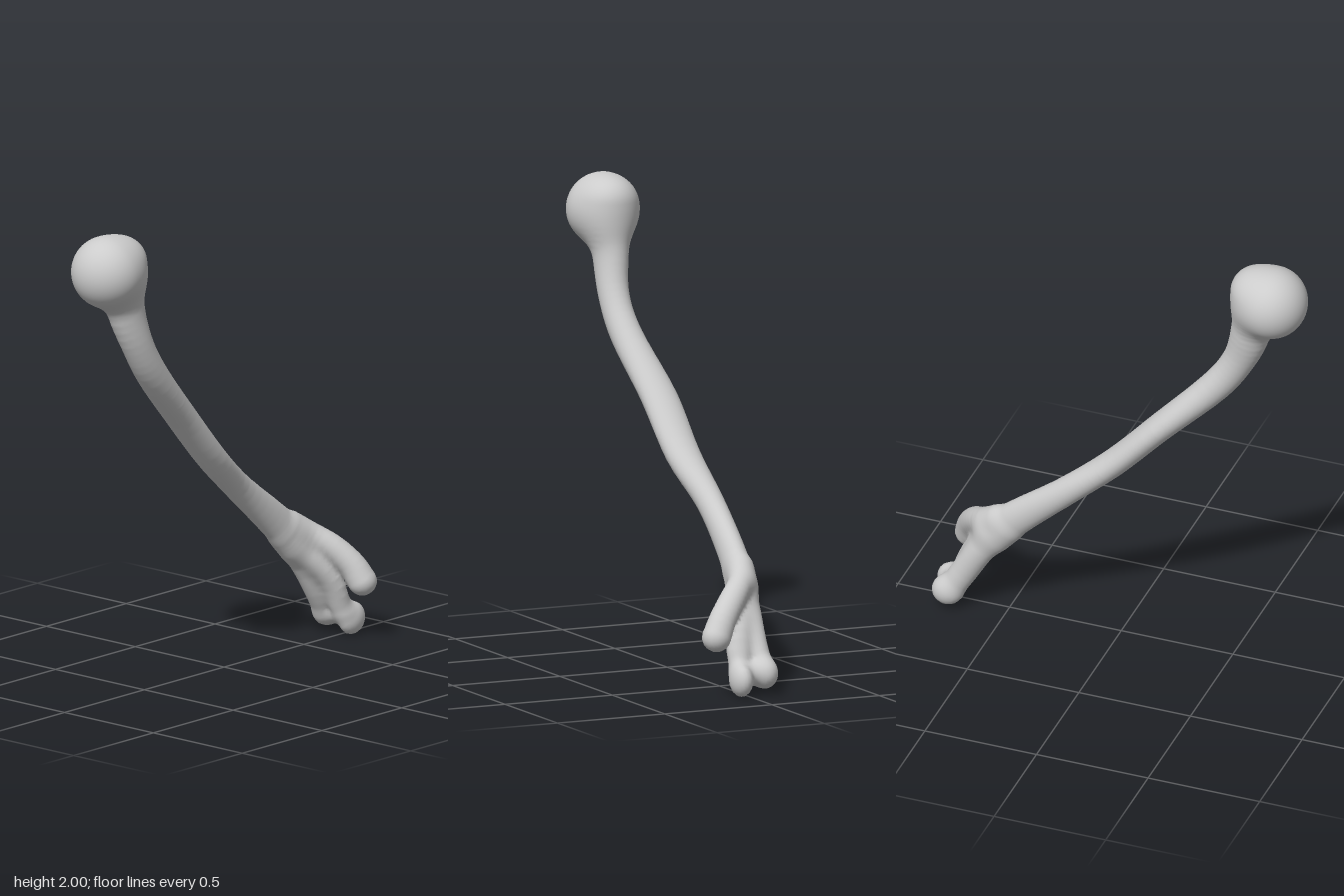
import * as THREE from 'three';

// Each strand is a list of [x, y, z, in-plane radius, z radius] stations, smoothed by a spline.
const SHAFT = [
  [-0.595, 1.89, -0.03, 0.08, 0.09], [-0.598, 1.79, -0.025, 0.085, 0.09], [-0.588, 1.66, -0.023, 0.085, 0.074],
  [-0.53, 1.5, -0.01, 0.07, 0.065], [-0.425, 1.345, -0.018, 0.067, 0.068], [-0.2, 1.115, -0.06, 0.059, 0.081],
  [0, 0.9, -0.074, 0.058, 0.077], [0.2, 0.728, -0.103, 0.061, 0.058], [0.4, 0.56, -0.1, 0.074, 0.055],
  [0.54, 0.43, -0.085, 0.085, 0.06],
];
const INNER_RIDGE = [
  [0.52, 0.5, -0.085, 0.055, 0.05], [0.6, 0.45, -0.045, 0.053, 0.05], [0.66, 0.395, 0.02, 0.055, 0.055],
  [0.705, 0.325, 0.085, 0.057, 0.058], [0.727, 0.255, 0.125, 0.062, 0.062],
];
const OUTER_RIDGE = [
  [0.48, 0.47, -0.1, 0.06, 0.05], [0.59, 0.33, -0.09, 0.058, 0.05], [0.67, 0.2, -0.08, 0.058, 0.052],
  [0.73, 0.1, -0.085, 0.055, 0.05],
];
const WEB = [
  [0.54, 0.42, -0.08, 0.06, 0.05], [0.66, 0.26, -0.01, 0.048, 0.06], [0.725, 0.11, 0.015, 0.045, 0.045],
];
// Rounded ends: [x, y, z, rx, ry, rz]
const HEAD = [-0.69, 1.843, -0.036, 0.15, 0.155, 0.156];
const CONDYLES = [
  [0.767, 0.072, 0.03, 0.068, 0.071, 0.046], // pulley lip
  [0.747, 0.09, -0.088, 0.066, 0.066, 0.056], // outer knuckle
  [0.745, 0.092, -0.03, 0.047, 0.047, 0.07], // axle between them
];

function strand(stations, steps) {
  const spline = (f) => new THREE.CatmullRomCurve3(stations.map(f), false, 'catmullrom').getPoints(steps);
  const p = spline((s) => new THREE.Vector3(s[0], s[1], s[2]));
  const r = spline((s) => new THREE.Vector3(s[3], s[4], 0));
  return (x, y, z) => {
    let best = Infinity;
    for (let i = 0; i < steps; i++) {
      const a = p[i], b = p[i + 1];
      const ux = b.x - a.x, uy = b.y - a.y, uz = b.z - a.z;
      let t = ((x - a.x) * ux + (y - a.y) * uy + (z - a.z) * uz) / (ux * ux + uy * uy + uz * uz);
      t = Math.min(1, Math.max(0, t));
      const r1 = r[i].x + (r[i + 1].x - r[i].x) * t, r2 = r[i].y + (r[i + 1].y - r[i].y) * t;
      const dx = (x - a.x - ux * t) / r1, dy = (y - a.y - uy * t) / r1, dz = (z - a.z - uz * t) / r2;
      const d = (Math.sqrt(dx * dx + dy * dy + dz * dz) - 1) * Math.min(r1, r2);
      if (d < best) best = d;
    }
    return best;
  };
}

function ellipsoid([cx, cy, cz, rx, ry, rz]) {
  return (x, y, z) => (Math.hypot((x - cx) / rx, (y - cy) / ry, (z - cz) / rz) - 1) * Math.min(rx, ry, rz);
}

// Smooth union of two distances
function blend(a, b, k) {
  const h = Math.max(0, k - Math.abs(a - b)) / k;
  return Math.min(a, b) - h * h * k * 0.25;
}

function boneField() {
  const shaft = strand(SHAFT, 45), head = ellipsoid(HEAD);
  const lower = [strand(OUTER_RIDGE, 9), strand(WEB, 8), strand(INNER_RIDGE, 12)];
  const ends = CONDYLES.map(ellipsoid);
  return (x, y, z) => {
    let d = shaft(x, y, z);
    if (y > 1.3) return blend(d, head(x, y, z), 0.07);
    if (y < 0.8) {
      for (const f of lower) d = blend(d, f(x, y, z), 0.03);
      for (const f of ends) d = blend(d, f(x, y, z), 0.025);
    }
    return d;
  };
}

// Skin a distance field: one vertex per crossed cell, one quad per crossed grid edge
function skin(field, min, max, h) {
  const n = min.map((m, i) => Math.ceil((max[i] - m) / h) + 1);
  const step = [1, n[0], n[0] * n[1]];
  const value = new Float32Array(n[0] * n[1] * n[2]);
  const each = (from, cut, fn) => {
    for (let k = from; k < n[2] - cut; k++)
      for (let j = from; j < n[1] - cut; j++)
        for (let i = from; i < n[0] - cut; i++) fn(i, j, k, i + j * step[1] + k * step[2]);
  };
  each(0, 0, (i, j, k, c) => { value[c] = field(min[0] + i * h, min[1] + j * h, min[2] + k * h); });

  const vertex = new Map(), position = [], normal = [], index = [];
  const corner = (b) => (b & 1) * step[0] + ((b >> 1) & 1) * step[1] + (b >> 2) * step[2];
  each(0, 1, (i, j, k, c) => {
    const sum = [0, 0, 0];
    let count = 0;
    for (let b = 0; b < 8; b++)
      for (let axis = 0; axis < 3; axis++) {
        if (b & (1 << axis)) continue;
        const v0 = value[c + corner(b)], v1 = value[c + corner(b) + step[axis]];
        if ((v0 < 0) === (v1 < 0)) continue;
        for (let q = 0; q < 3; q++) sum[q] += q === axis ? v0 / (v0 - v1) : (b >> q) & 1;
        count++;
      }
    if (!count) return;
    const [x, y, z] = [i, j, k].map((g, q) => min[q] + (g + sum[q] / count) * h);
    const e = 0.008;
    const g = new THREE.Vector3(
      field(x + e, y, z) - field(x - e, y, z),
      field(x, y + e, z) - field(x, y - e, z),
      field(x, y, z + e) - field(x, y, z - e)).normalize();
    vertex.set(c, position.length / 3);
    position.push(x, y, z);
    normal.push(g.x, g.y, g.z);
  });

  each(1, 1, (i, j, k, c) => {
    for (let axis = 0; axis < 3; axis++) {
      const inside = value[c] < 0;
      if (inside === value[c + step[axis]] < 0) continue;
      const u = step[(axis + 1) % 3], v = step[(axis + 2) % 3];
      const [a, b, d, e] = [c - u - v, c - v, c, c - u].map((cell) => vertex.get(cell));
      if (inside) index.push(a, b, d, a, d, e);
      else index.push(a, d, b, a, e, d);
    }
  });

  const geometry = new THREE.BufferGeometry();
  geometry.setAttribute('position', new THREE.Float32BufferAttribute(position, 3));
  geometry.setAttribute('normal', new THREE.Float32BufferAttribute(normal, 3));
  geometry.setIndex(index);
  return geometry;
}

export function createModel() {
  const group = new THREE.Group();
  group.name = 'upperArmBone';
  const geometry = skin(boneField(), [-0.9, -0.05, -0.25], [0.9, 2.06, 0.25], 0.0145);
  const bone = new THREE.Mesh(geometry, new THREE.MeshStandardMaterial({ color: 0xcccccc, roughness: 0.8 }));
  bone.name = 'bone';
  group.add(bone);
  return group;
}
